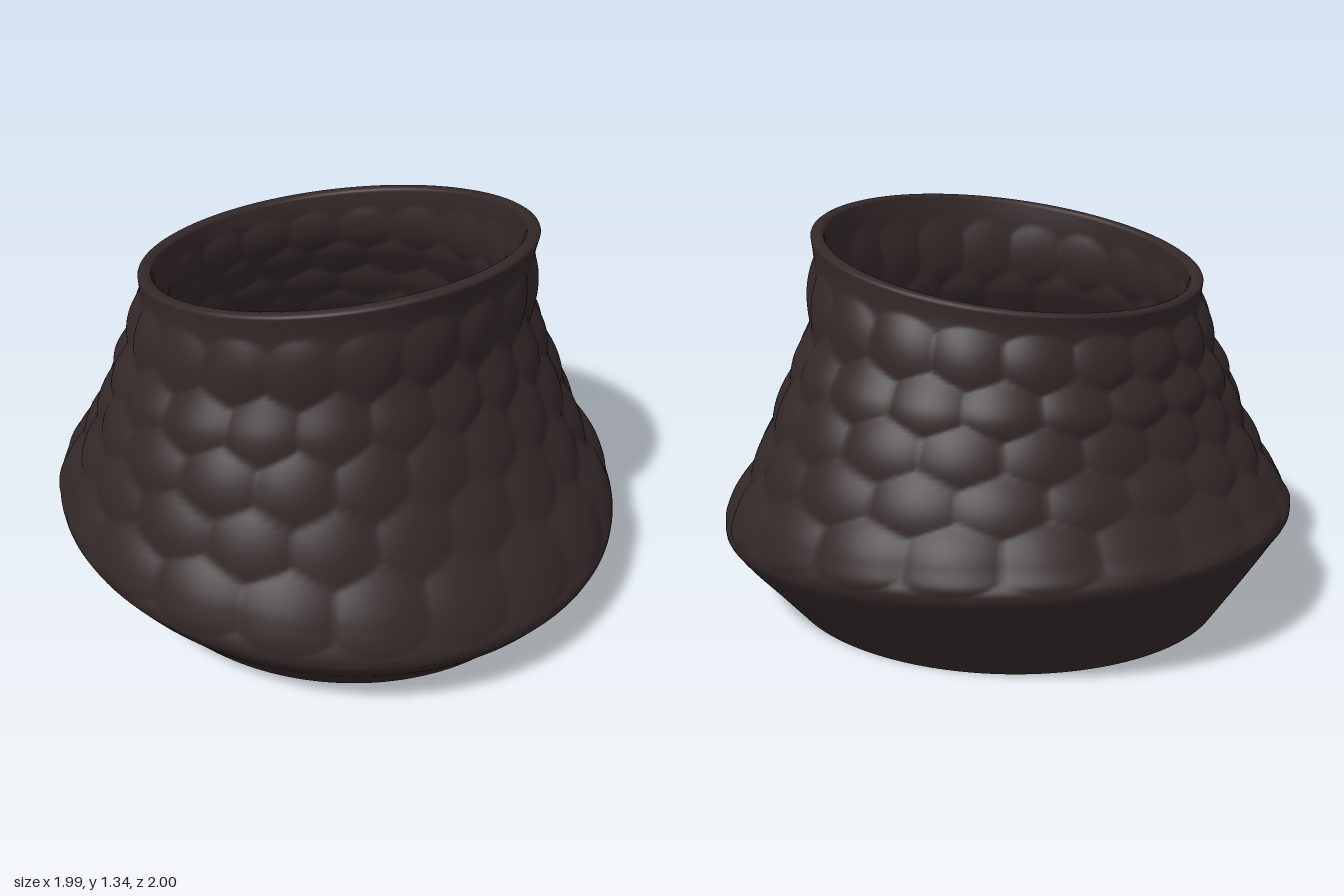
import * as THREE from 'three';

const COLUMNS = 20, ROWS = 5, AROUND = 320, WALL = 0.045;
const curve = (pts) => new THREE.SplineCurve(pts.map(([r, y]) => new THREE.Vector2(r, y)));

// Matching wall profiles (radius, height) for the low side, the middle and the high side
const low = curve([[0.77, 0], [0.865, 0.145], [0.955, 0.29], [0.995, 0.37], [0.92, 0.445],
  [0.84, 0.555], [0.755, 0.7], [0.72, 0.81], [0.685, 0.9], [0.66, 1.03], [0.668, 1.105]]);
const middle = curve([[0.75, 0], [0.855, 0.125], [0.955, 0.245], [0.995, 0.32], [0.955, 0.41],
  [0.89, 0.545], [0.815, 0.725], [0.755, 0.86], [0.70, 0.97], [0.67, 1.13], [0.668, 1.215]]);
const high = curve([[0.81, 0], [0.885, 0.085], [0.96, 0.165], [0.995, 0.24], [0.92, 0.36],
  [0.81, 0.52], [0.70, 0.74], [0.645, 0.90], [0.617, 1.03], [0.64, 1.23], [0.664, 1.33]]);

// Blend the three profiles round the pot
function wallPoint(t, theta) {
  const c = Math.cos(theta);
  const a = low.getPoint(t), m = middle.getPoint(t), b = high.getPoint(t);
  const mix = (l, mid, h) => mid + c * (h - l) / 2 + c * c * ((h + l) / 2 - mid);
  return { r: mix(a.x, m.x, b.x), y: mix(a.y, m.y, b.y) };
}

// Height of the domed hexagonal scales at a point of the wall
function scaleHeight(theta, y) {
  const c = Math.cos(theta), bottom = 0.31 - 0.06 * c, top = 1.225 + 0.115 * c;
  const row = ((y - bottom) / (top - bottom) - 0.05) / 0.166;
  const column = theta / (2 * Math.PI) * COLUMNS;
  let nearest = 1;
  for (let k = 0; k < ROWS; k++) {
    const u = column - (k % 2) * 0.5;
    const dx = u - Math.round(u), dy = (row - k - 0.5) * 0.866;
    nearest = Math.min(nearest, dx * dx + dy * dy);
  }
  return 0.036 * Math.max(0, 1 - nearest / 0.4);
}

// Closed skin: up the outside, over the rounded lip, down the inside
function potGeometry() {
  const rings = [];
  const lower = 0.3;
  for (let i = 0; i < 12; i++) rings.push({ side: 1, t: lower * i / 12 });
  for (let i = 0; i <= 90; i++) rings.push({ side: 1, t: lower + (1 - lower) * i / 90 });
  for (let i = 1; i < 7; i++) rings.push({ side: 0, t: 1, a: Math.PI * i / 7 });
  for (let i = 0; i <= 66; i++) rings.push({ side: -1, t: 1 - (1 - lower) * i / 66 });
  for (let i = 1; i <= 8; i++) rings.push({ side: -1, t: lower * (1 - i / 8) });
  const position = [], index = [];
  rings.forEach(({ side, t, a }, i) => {
    for (let j = 0; j < AROUND; j++) {
      const theta = 2 * Math.PI * j / AROUND;
      let { r, y } = wallPoint(t, theta);
      const bump = scaleHeight(theta, y);
      if (side === 1) r += bump * 0.8;
      else if (side === -1) {
        r -= WALL + bump * 0.6;
        y = Math.max(y, 0.04);
      } else {
        r += WALL / 2 * (Math.cos(a) - 1);
        y += 0.012 * Math.sin(a);
      }
      position.push(r * Math.cos(theta), y, r * Math.sin(theta));
      if (i < rings.length - 1) {
        const p = i * AROUND + j, q = i * AROUND + (j + 1) % AROUND;
        index.push(p, p + AROUND, q, q, p + AROUND, q + AROUND);
      }
    }
  });
  const g = new THREE.BufferGeometry();
  g.setAttribute('position', new THREE.Float32BufferAttribute(position, 3));
  g.setIndex(index);
  g.computeVertexNormals();
  return g;
}

// Flat underside following the foot of the wall
function baseGeometry() {
  const outline = [];
  for (let j = 0; j < 128; j++) {
    const theta = 2 * Math.PI * j / 128, { r } = wallPoint(0, theta);
    outline.push(new THREE.Vector2(r * Math.cos(theta), r * Math.sin(theta)));
  }
  return new THREE.ShapeGeometry(new THREE.Shape(outline)).rotateX(Math.PI / 2);
}

export function createModel() {
  const group = new THREE.Group();
  const clay = new THREE.MeshStandardMaterial({ color: 0x342828 });
  clay.name = 'dark brown clay';
  const add = (name, geometry, x = 0, y = 0, z = 0) => {
    const mesh = new THREE.Mesh(geometry, clay);
    mesh.name = name;
    mesh.position.set(x, y, z);
    group.add(mesh);
  };

  add('scaledWall', potGeometry());
  add('base', baseGeometry());
  add('innerFloor', new THREE.CircleGeometry(0.79, 96).rotateX(-Math.PI / 2), 0.02, 0.08, 0);

  // Three by three grid of stepped studs on the floor
  const stud = new THREE.LatheGeometry([[0.137, 0], [0.128, 0.018], [0.108, 0.03], [0.098, 0.03],
    [0.085, 0.05], [0.068, 0.055], [0.062, 0.05], [0, 0.05]].map(([r, y]) => new THREE.Vector2(r, y)), 40);
  for (let i = -1; i <= 1; i++) {
    for (let k = -1; k <= 1; k++) add('floorStud', stud, -0.012 + i * 0.335, 0.08, k * 0.335);
  }
  return group;
}
